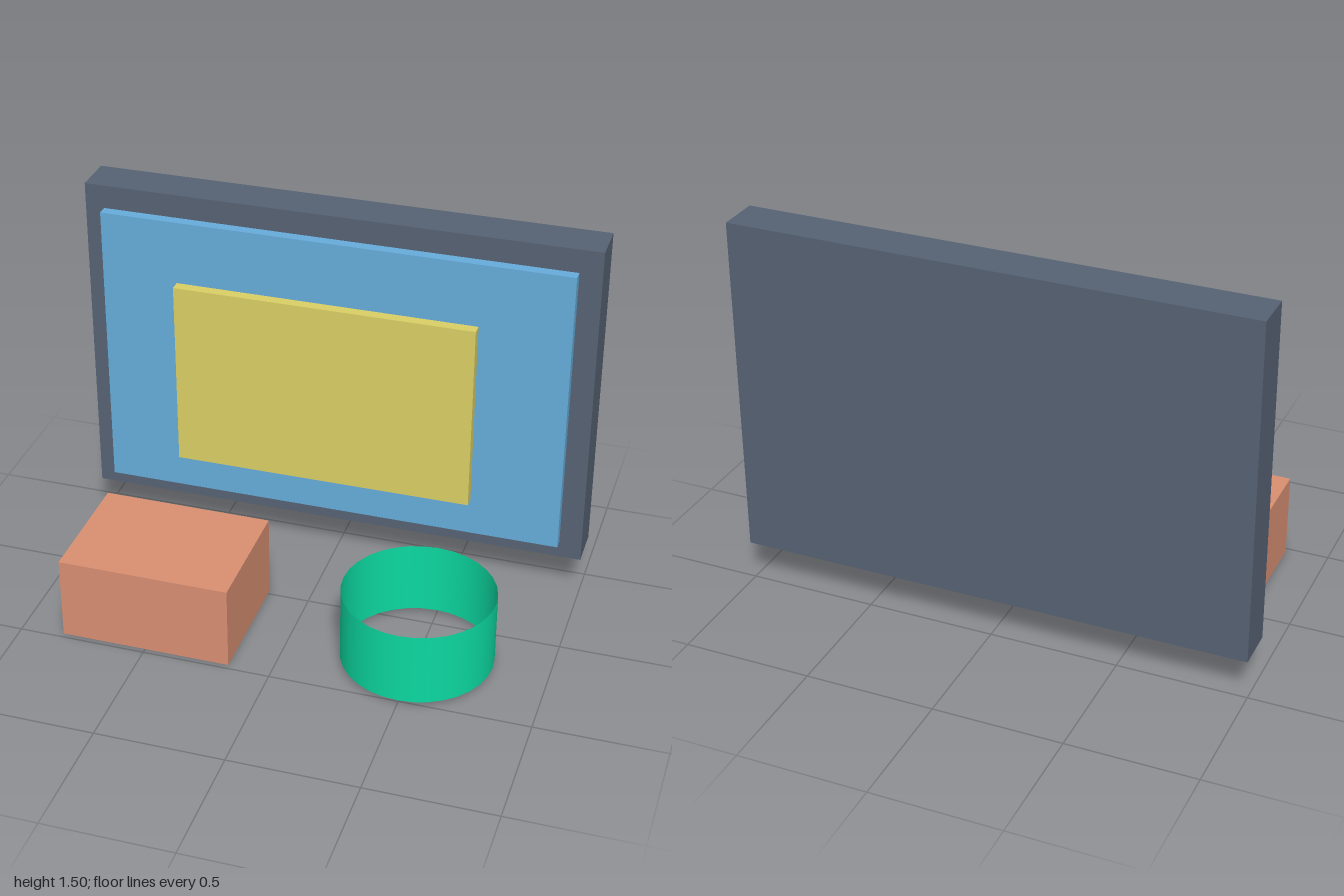
import * as THREE from 'three';

function add(group, name, geometry, color, position, side = THREE.FrontSide) {
  const mesh = new THREE.Mesh(geometry, new THREE.MeshStandardMaterial({ color, side }));
  mesh.name = name;
  mesh.position.set(...position);
  group.add(mesh);
}

export function createModel() {
  const group = new THREE.Group();
  group.name = 'displayWithProps';
  const box = (name, size, color, position) =>
    add(group, name, new THREE.BoxGeometry(...size), color, position);

  // Upright slab with two thinner panels floating in front of it
  box('backPanel', [2, 1.333, 0.167], 0x566273, [0, 0.833, -0.4375]);
  box('screenPanel', [1.833, 1.167, 0.042], 0x66acdb, [0, 0.833, -0.3125]);
  box('centrePanel', [1.167, 0.75, 0.042], 0xdacf66, [0, 0.833, -0.1875]);

  // Block on the ground
  box('block', [0.667, 0.333, 0.5], 0xd98f72, [-0.5, 0.1667, 0.229]);

  // Thin ring, open at both ends
  add(group, 'openRing', new THREE.CylinderGeometry(0.2917, 0.2917, 0.2917, 32, 1, true),
    0x0cd8a0, [0.5, 0.1667, 0.229], THREE.DoubleSide);

  return group;
}
